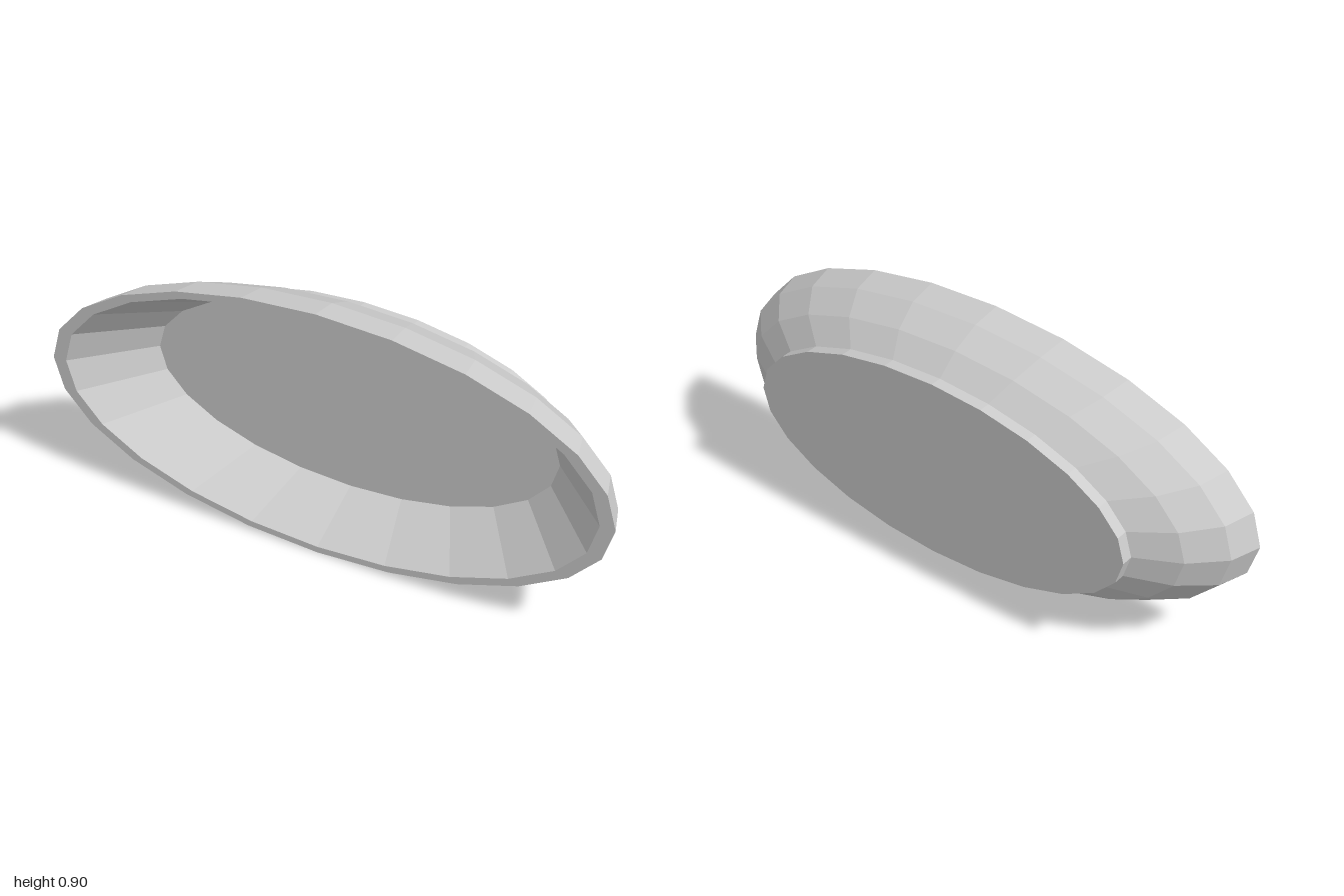
import * as THREE from 'three';

const SIDES = 24;
const ASPECT = 0.45; // ellipse height relative to width

// Elliptical turned part: profile of [radius, z], axis along z
function turned(name, profile, material) {
  const points = profile.map(([r, z]) => new THREE.Vector2(r, z));
  const geometry = new THREE.LatheGeometry(points, SIDES)
    .rotateX(Math.PI / 2)
    .scale(1, ASPECT, 1);
  const mesh = new THREE.Mesh(geometry, material);
  mesh.name = name;
  return mesh;
}

export function createModel() {
  const group = new THREE.Group();
  group.name = 'ovalDish';
  const material = new THREE.MeshStandardMaterial({ color: 0xcccccc, flatShading: true });

  // Curved outside, flat rim, straight sloping inside wall and raised floor
  const bowl = turned('bowl', [
    [0, -0.119], [0.727, -0.119], [0.866, -0.045], [0.966, 0.054], [1, 0.159],
    [0.95, 0.159], [0.727, -0.068], [0, -0.068],
  ], material);

  // Foot disc under the bowl
  const foot = turned('foot', [
    [0, -0.159], [0.727, -0.159], [0.727, -0.119], [0, -0.119],
  ], material);

  group.add(bowl, foot);
  group.position.y = 0.45;
  return group;
}
